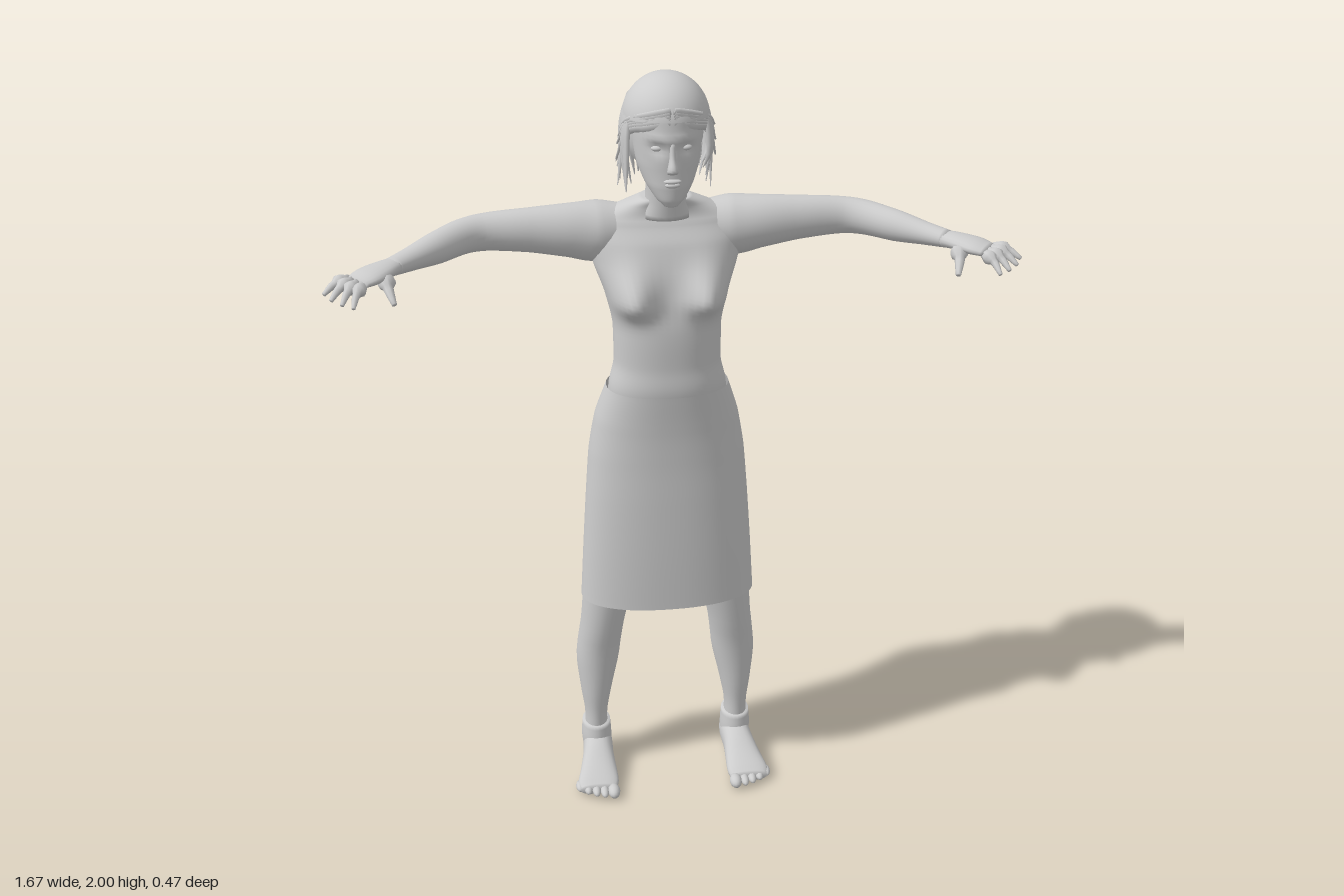
import * as THREE from 'three';

const V = (x, y, z) => new THREE.Vector3(x, y, z);

// Smooth tube through sections [x, y, z, halfWidth, halfDepth].
// axis fixes the ring plane, otherwise rings follow the path.
function loft(rows, { axis, ref = [0, 1, 0], n = 16, steps = 4, cap = true, power = 2, deform } = {}) {
  const path = new THREE.CatmullRomCurve3(rows.map(r => V(r[0], r[1], r[2])));
  const size = new THREE.CatmullRomCurve3(rows.map(r => V(r[3], r[4], 0)));
  const up = V(...ref), count = (rows.length - 1) * steps, pos = [], index = [];
  const rings = [];
  for (let i = 0; i <= count; i++) rings.push([i / count, 1]);
  if (cap) { rings.unshift([0, 0]); rings.push([1, 0]); }
  for (const [t, k] of rings) {
    const c = path.getPoint(t), s = size.getPoint(t);
    const dir = axis ? V(...axis) : path.getTangent(t);
    const u = up.clone().cross(dir).normalize(), v = dir.clone().cross(u);
    for (let j = 0; j < n; j++) {
      const a = j / n * Math.PI * 2, ca = Math.cos(a), sa = Math.sin(a);
      const p = c.clone()
        .addScaledVector(u, Math.sign(ca) * Math.abs(ca) ** (2 / power) * s.x * k)
        .addScaledVector(v, Math.sign(sa) * Math.abs(sa) ** (2 / power) * s.y * k);
      if (deform) deform(p, c);
      pos.push(p.x, p.y, p.z);
    }
  }
  for (let i = 0; i < rings.length - 1; i++) for (let j = 0; j < n; j++) {
    const a = i * n + j, b = i * n + (j + 1) % n;
    index.push(a, b, a + n, b, b + n, a + n);
  }
  const g = new THREE.BufferGeometry();
  g.setAttribute('position', new THREE.Float32BufferAttribute(pos, 3));
  g.setIndex(index);
  g.computeVertexNormals();
  return g;
}

const bump = (d, w) => Math.exp(-((d / w) ** 2));
const upright = { axis: [0, 1, 0], ref: [0, 0, 1] };

export function createModel() {
  const model = new THREE.Group();
  const grey = new THREE.MeshStandardMaterial({ color: 0xcccccc, side: THREE.DoubleSide });
  grey.name = 'light grey';
  const add = (name, geometry, parent = model) => {
    const m = new THREE.Mesh(geometry, grey);
    m.name = name;
    parent.add(m);
    return m;
  };
  const ball = (name, p, r, parent) => {
    const m = add(name, new THREE.SphereGeometry(1, 14, 10), parent);
    m.position.set(...p);
    m.scale.set(...r);
    return m;
  };

  // Torso with bust, spine groove and navel line
  add('torso', loft([
    [0, 1.02, -0.07, 0.15, 0.08], [0, 1.19, -0.055, 0.152, 0.098], [0, 1.27, -0.055, 0.137, 0.094],
    [0, 1.36, -0.058, 0.138, 0.095], [0, 1.45, -0.07, 0.157, 0.09], [0, 1.52, -0.085, 0.182, 0.09],
    [0, 1.58, -0.098, 0.195, 0.084], [0, 1.63, -0.108, 0.185, 0.068], [0, 1.665, -0.1, 0.115, 0.055],
    [0, 1.69, -0.085, 0.06, 0.055],
  ], {
    ...upright, n: 56, steps: 7, power: 2.2,
    deform(p, c) {
      const side = p.z - c.z;
      if (side > 0) {
        const f = Math.min(1, side / 0.04);
        p.z += f * 0.062 * bump(Math.abs(p.x) - 0.095, 0.05) * bump(p.y - 1.448, p.y < 1.448 ? 0.04 : 0.075);
      } else {
        const f = Math.min(1, -side / 0.05);
        p.z += f * 0.022 * bump(p.x, 0.03) * bump(p.y - 1.42, 0.19);
        p.z -= f * 0.012 * bump(Math.abs(p.x) - 0.1, 0.05) * bump(p.y - 1.56, 0.07);
      }
    },
  }));
  add('neck', loft([
    [0, 1.64, -0.085, 0.07, 0.06], [0, 1.69, -0.072, 0.052, 0.055], [0, 1.8, -0.06, 0.05, 0.055],
  ], { ...upright, n: 24 }));

  // Skirt, open at the hem
  add('skirt', loft([
    [0, 0.57, -0.06, 0.235, 0.116], [0, 0.72, -0.064, 0.226, 0.117], [0, 0.88, -0.07, 0.215, 0.118],
    [0, 1.0, -0.076, 0.205, 0.12], [0, 1.1, -0.073, 0.188, 0.118], [0, 1.195, -0.055, 0.158, 0.106],
  ], {
    ...upright, n: 56, steps: 7, cap: false, power: 2.25,
    deform(p, c) {
      if (p.z < c.z) p.z -= Math.min(1, (c.z - p.z) / 0.06) * 0.03
        * bump(Math.abs(p.x) - 0.08, 0.065) * bump(p.y - 1.05, 0.08);
    },
  }));

  // Arms, hands, legs and feet, mirrored by s
  for (const s of [1, -1]) {
    const side = s > 0 ? 'left' : 'right';
    const flip = rows => rows.map(([x, ...rest]) => [x * s, ...rest]);
    add(side + 'Arm', loft(flip([
      [0.09, 1.6, -0.11, 0.055, 0.06], [0.17, 1.595, -0.11, 0.072, 0.077], [0.24, 1.603, -0.1, 0.06, 0.068],
      [0.34, 1.61, -0.095, 0.047, 0.056], [0.45, 1.612, -0.09, 0.041, 0.047], [0.5, 1.611, -0.07, 0.041, 0.044],
      [0.57, 1.606, -0.01, 0.038, 0.039], [0.63, 1.603, 0.045, 0.031, 0.028], [0.675, 1.602, 0.088, 0.027, 0.021],
    ]), { n: 24, steps: 5 }));

    const hand = new THREE.Group();
    hand.name = side + 'Hand';
    model.add(hand);
    add('palm', loft(flip([
      [0.665, 1.602, 0.08, 0.026, 0.02], [0.695, 1.603, 0.107, 0.036, 0.019],
      [0.73, 1.601, 0.14, 0.043, 0.017], [0.757, 1.597, 0.163, 0.036, 0.012],
    ]), { n: 18 }), hand);
    // Each finger: knuckle, then tip
    [[0.773, 1.598, 0.137, 0.832, 1.578, 0.18], [0.765, 1.599, 0.152, 0.815, 1.573, 0.208],
      [0.753, 1.598, 0.165, 0.79, 1.569, 0.23], [0.738, 1.596, 0.172, 0.764, 1.565, 0.243],
      [0.69, 1.596, 0.12, 0.672, 1.553, 0.203]].forEach(([x, y, z, tx, ty, tz], i) => {
      const r = i === 4 ? 0.013 : 0.01;
      add(i === 4 ? 'thumb' : 'finger', loft(flip([
        [x, y, z, r, r], [(x + tx) / 2 + 0.004, (y + ty) / 2 + 0.006, (z + tz) / 2, r, r],
        [tx, ty, tz, r * 0.5, r * 0.5],
      ]), { n: 8 }), hand);
    });

    add(side + 'Leg', loft(flip([
      [0.2, 0.07, -0.092, 0.034, 0.042], [0.2, 0.15, -0.09, 0.031, 0.04], [0.198, 0.24, -0.094, 0.043, 0.05],
      [0.19, 0.36, -0.1, 0.06, 0.062], [0.178, 0.46, -0.088, 0.06, 0.063], [0.163, 0.56, -0.082, 0.067, 0.068],
      [0.14, 0.72, -0.078, 0.08, 0.08], [0.11, 0.95, -0.075, 0.09, 0.085],
    ]), { ...upright, n: 24 }));

    const foot = new THREE.Group();
    foot.name = side + 'Foot';
    model.add(foot);
    add('ankle', loft(flip([
      [0.198, 0.03, -0.09, 0.038, 0.052], [0.2, 0.08, -0.09, 0.042, 0.052], [0.2, 0.13, -0.092, 0.039, 0.047],
    ]), { ...upright, n: 24 }), foot);
    add('sole', loft(flip([
      [0.195, 0.04, -0.146, 0.015, 0.02], [0.196, 0.043, -0.128, 0.034, 0.038], [0.198, 0.053, -0.08, 0.041, 0.048],
      [0.202, 0.048, -0.03, 0.043, 0.044], [0.207, 0.035, 0.025, 0.051, 0.03], [0.212, 0.024, 0.07, 0.057, 0.02],
      [0.213, 0.018, 0.095, 0.05, 0.013],
    ]), { axis: [0, 0, 1], n: 24, power: 2.3 }), foot);
    for (let i = 0; i < 5; i++) {
      const r = i ? 0.0115 : 0.017;
      ball('toe', [s * (0.172 + i * 0.022 + (i ? 0.004 : 0)), 0.018, 0.106 - i * i * 0.0022],
        [r, r, 0.027 - i * 0.001], foot);
    }
  }

  // Head and face
  const head = new THREE.Group();
  head.name = 'head';
  model.add(head);
  add('face', loft([
    [0, 1.698, 0.018, 0.018, 0.018], [0, 1.715, 0.006, 0.036, 0.038], [0, 1.75, -0.02, 0.06, 0.068],
    [0, 1.8, -0.042, 0.078, 0.09], [0, 1.86, -0.055, 0.086, 0.106], [0, 1.92, -0.065, 0.09, 0.11],
    [0, 1.97, -0.072, 0.065, 0.08],
  ], {
    ...upright, n: 40, steps: 6,
    deform(p, c) {
      if (p.z < c.z + 0.02) return;
      p.z -= 0.012 * bump(Math.abs(p.x) - 0.034, 0.018) * bump(p.y - 1.845, 0.016);
      p.z += 0.006 * bump(p.y - 1.868, 0.01) * bump(Math.abs(p.x) - 0.03, 0.03);
    },
  }), head);
  add('nose', loft([
    [0, 1.785, 0.046, 0.013, 0.01], [0, 1.796, 0.054, 0.014, 0.019],
    [0, 1.825, 0.048, 0.008, 0.013], [0, 1.86, 0.044, 0.007, 0.008],
  ], { ...upright, n: 12 }), head);
  ball('upperLip', [0, 1.766, 0.046], [0.022, 0.006, 0.01], head);
  ball('lowerLip', [0, 1.756, 0.044], [0.019, 0.007, 0.01], head);
  for (const s of [1, -1]) ball('eye', [s * 0.034, 1.844, 0.025], [0.016, 0.008, 0.013], head);

  // Hair: crown, rear shell, and loose tapering locks
  const hair = new THREE.Group();
  hair.name = 'hair';
  model.add(hair);
  const crown = add('crown', new THREE.SphereGeometry(1, 36, 14, 0, Math.PI * 2, 0, Math.PI * 0.48), hair);
  crown.position.set(0, 1.888, -0.073);
  crown.scale.set(0.107, 0.112, 0.124);
  crown.rotation.x = -0.12;
  ball('rearShell', [0, 1.86, -0.105], [0.1, 0.125, 0.092], hair);
  let seed = 7;
  const rand = () => (seed = (seed * 16807) % 2147483647) / 2147483647;
  const count = 46;
  for (let i = 0; i < count; i++) {
    // a = 0 points forward; locks run from one temple round the back to the other
    const a = 1.15 + (i + rand() * 0.7) / count * (Math.PI * 2 - 2.3);
    const at = (y, k, turn = 0) => [Math.sin(a + turn) * 0.106 * k, y, -0.078 + Math.cos(a + turn) * 0.122 * k];
    const end = 1.705 + rand() * 0.075, flare = 0.8 + rand() * 0.36, turn = (rand() - 0.5) * 0.3;
    add('lock', loft([
      [...at(1.94, 0.86), 0.012, 0.004], [...at(1.88, 1.0), 0.016, 0.007],
      [...at(1.81, 1.03, turn * 0.4), 0.014, 0.006], [...at(end, flare, turn), 0.002, 0.001],
    ], { ref: [Math.sin(a), 0, Math.cos(a)], n: 6, steps: 3 }), hair);
  }
  // Fringe swept aside across the forehead
  for (const s of [1, -1]) for (let i = 0; i < 5; i++) {
    const y = 1.925 - i * 0.007;
    add('fringe', loft([
      [s * 0.005, y + 0.012, 0.044, 0.009, 0.004], [s * 0.055, y - 0.004, 0.024, 0.011, 0.005],
      [s * 0.097, y - 0.03, -0.035, 0.009, 0.005], [s * (0.112 + rand() * 0.014), y - 0.06 - i * 0.012, -0.075, 0.002, 0.001],
    ], { n: 6, ref: [0, 0, 1], steps: 4 }), hair);
  }
  return model;
}
